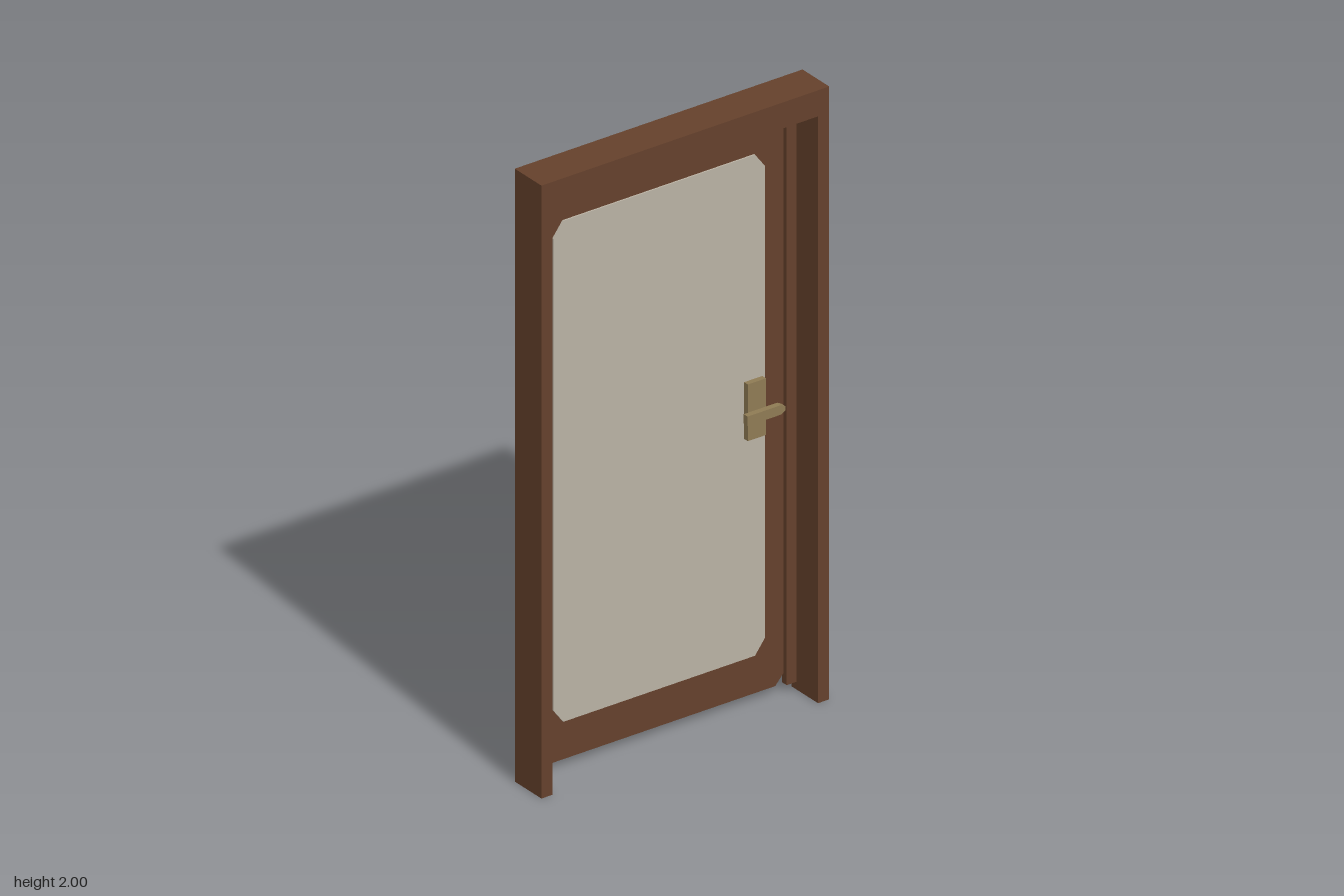
import * as THREE from 'three';

// Rectangle with cut corners (cx, cy)
function cutCorners(Type, x0, x1, y0, y1, cx, cy) {
  const s = new Type();
  s.moveTo(x0 + cx, y0);
  s.lineTo(x1 - cx, y0);
  s.lineTo(x1, y0 + cy);
  s.lineTo(x1, y1 - cy);
  s.lineTo(x1 - cx, y1);
  s.lineTo(x0 + cx, y1);
  s.lineTo(x0, y1 - cy);
  s.lineTo(x0, y0 + cy);
  s.closePath();
  return s;
}

function slab(name, shape, z0, z1, material) {
  const geo = new THREE.ExtrudeGeometry(shape, { depth: z1 - z0, bevelEnabled: false });
  geo.translate(0, 0, z0);
  const mesh = new THREE.Mesh(geo, material);
  mesh.name = name;
  return mesh;
}

function box(name, x0, x1, y0, y1, z0, z1, material) {
  const mesh = new THREE.Mesh(new THREE.BoxGeometry(x1 - x0, y1 - y0, z1 - z0), material);
  mesh.position.set((x0 + x1) / 2, (y0 + y1) / 2, (z0 + z1) / 2);
  mesh.name = name;
  return mesh;
}

export function createModel() {
  const mat = (name, color) => new THREE.MeshStandardMaterial({ name, color });
  const wood = mat('brown wood', 0x65412c);
  const glass = mat('frosted glass', 0xbab2a4);
  const brass = mat('dull brass', 0x8f7b54);

  const door = new THREE.Group();
  door.name = 'door';

  // Door frame: two jambs and a header in one piece
  const frame = new THREE.Shape([
    [-0.515, 0], [-0.475, 0], [-0.475, 1.915], [0.475, 1.915],
    [0.475, 0], [0.515, 0], [0.515, 2], [-0.515, 2],
  ].map(([x, y]) => new THREE.Vector2(x, y)));
  door.add(slab('frame', frame, -0.03, 0.1, wood));

  // Stop strips inside the jambs
  door.add(box('rightStop', -0.475, -0.44, 0.025, 1.915, -0.029, -0.005, wood));
  door.add(box('leftStop', 0.44, 0.475, 0.025, 1.915, -0.029, -0.005, wood));

  // Leaf with a window opening, and the pane standing slightly proud
  const pane = [-0.388, 0.37, 0.15, 1.785, 0.036, 0.048];
  const leaf = cutCorners(THREE.Shape, -0.455, 0.445, 0.025, 1.89, 0.035, 0.04);
  leaf.holes.push(cutCorners(THREE.Path, ...pane));
  door.add(slab('leaf', leaf, -0.06, -0.02, wood));
  door.add(slab('pane', cutCorners(THREE.Shape, ...pane), -0.065, -0.015, glass));

  // Handles on both faces, mirrored about the middle of the leaf
  const lever = new THREE.Shape([
    [0.28, 0.932], [0.4, 0.932], [0.415, 0.94],
    [0.415, 0.955], [0.4, 0.963], [0.28, 0.963],
  ].map(([x, y]) => new THREE.Vector2(x, y)));
  for (const side of [1, -1]) {
    const span = (a, b) => [-0.04 + side * a, -0.04 + side * b].sort((p, q) => p - q);
    const handle = new THREE.Group();
    handle.name = side > 0 ? 'frontHandle' : 'backHandle';
    handle.add(box('handlePlate', 0.295, 0.36, 0.87, 1.055, ...span(0.02, 0.043), brass));
    handle.add(slab('handleLever', lever, ...span(0.043, 0.062), brass));
    door.add(handle);
  }
  return door;
}
